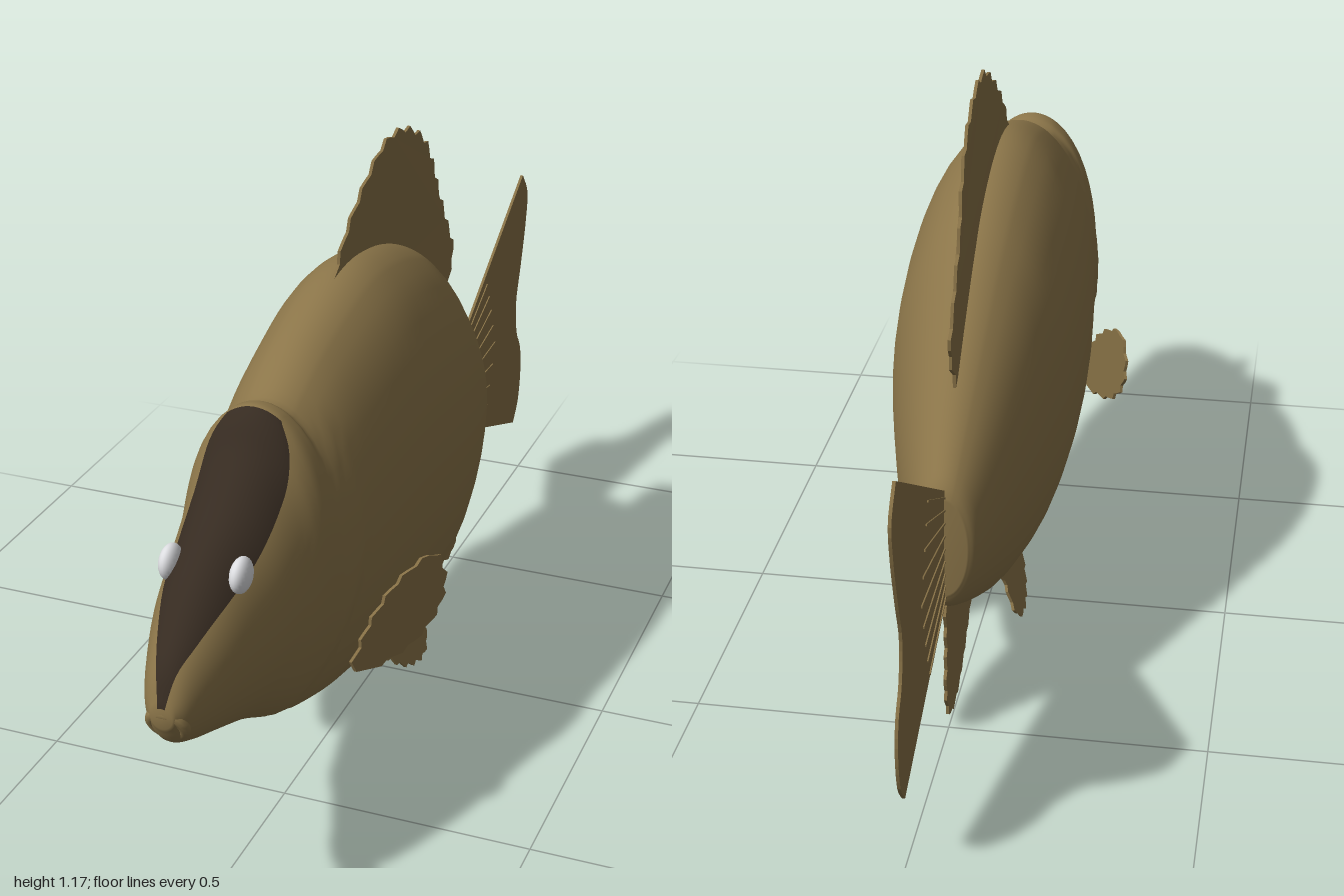
import * as THREE from 'three';

const mat = (name, color, side = THREE.FrontSide) => {
  const m = new THREE.MeshStandardMaterial({ color, side });
  m.name = name;
  return m;
};

// Body sections from snout to tail: z, top y, bottom y, half width, half angle of the mask
const SECTIONS = [
  [1.0, 0.505, 0.465, 0.02, 0.35],
  [0.975, 0.565, 0.425, 0.042, 0.45],
  [0.93, 0.615, 0.4, 0.063, 0.62],
  [0.85, 0.685, 0.37, 0.09, 0.76],
  [0.75, 0.74, 0.33, 0.115, 0.74],
  [0.66, 0.81, 0.28, 0.131, 0.68],
  [0.62, 0.86, 0.258, 0.138, 0.56],
  [0.595, 0.88, 0.248, 0.142, 0.35],
  [0.565, 0.878, 0.236, 0.145, 0.35],
  [0.53, 0.868, 0.222, 0.148, 0.35],
  [0.4, 0.93, 0.185, 0.165, 0.35],
  [0.2, 0.985, 0.155, 0.186, 0.35],
  [0.05, 0.977, 0.14, 0.19, 0.35],
  [-0.1, 0.93, 0.14, 0.18, 0.35],
  [-0.2, 0.87, 0.153, 0.16, 0.35],
  [-0.3, 0.785, 0.18, 0.135, 0.35],
  [-0.4, 0.69, 0.225, 0.106, 0.35],
  [-0.5, 0.585, 0.277, 0.073, 0.35],
  [-0.53, 0.55, 0.3, 0.06, 0.35],
  [-0.542, 0.525, 0.325, 0.045, 0.35],
];
const STEPS = 5, MASK_COLS = 12, SIDE_COLS = 40, COLS = MASK_COLS + SIDE_COLS;

function bodyGeometry() {
  const spline = (f) => new THREE.CatmullRomCurve3(SECTIONS.map(f), false, 'catmullrom', 0.5);
  const heights = spline((s) => new THREE.Vector3(s[0], s[1], s[2]));
  const widths = spline((s) => new THREE.Vector3(s[0], s[3], s[4]));
  const rows = (SECTIONS.length - 1) * STEPS;
  const pos = [], mask = [], skin = [];
  for (let i = 0; i <= rows; i++) {
    const { x: z, y: top, z: bottom } = heights.getPoint(i / rows);
    const { y: w, z: a } = widths.getPoint(i / rows);
    const mid = (top + bottom) / 2, h = (top - bottom) / 2;
    for (let j = 0; j < COLS; j++) {
      const t = j < MASK_COLS
        ? -a + (2 * a * j) / MASK_COLS
        : a + ((2 * Math.PI - 2 * a) * (j - MASK_COLS)) / SIDE_COLS;
      const y = mid + h * Math.cos(t);
      // raised gill cover ahead of a curved edge
      const ahead = z - (0.46 + 1.6 * Math.max(0, 0.62 - y) ** 2 + 1.2 * Math.max(0, y - 0.62) ** 2);
      const bulge = ahead > 0 ? 0.012 * Math.min(1, ahead / 0.02) * Math.max(0, 1 - ahead / 0.2) : 0;
      pos.push((w + bulge) * Math.sin(t), y, z);
    }
  }
  for (let i = 0; i < rows; i++) {
    const masked = i < 7 * STEPS;
    for (let j = 0; j < COLS; j++) {
      const k = (j + 1) % COLS;
      const a = i * COLS + j, b = i * COLS + k, c = a + COLS, d = b + COLS;
      (masked && j < MASK_COLS ? mask : skin).push(a, b, c, b, d, c);
    }
  }
  // end caps
  const front = pos.length / 3, back = front + 1, last = rows * COLS;
  pos.push(0, 0.485, 1.0, 0, 0.425, -0.545);
  for (let j = 0; j < COLS; j++) {
    const k = (j + 1) % COLS;
    skin.push(front, k, j, back, last + j, last + k);
  }
  const g = new THREE.BufferGeometry();
  g.setAttribute('position', new THREE.Float32BufferAttribute(pos, 3));
  g.setIndex([...mask, ...skin]);
  g.addGroup(0, mask.length, 0);
  g.addGroup(mask.length, skin.length, 1);
  g.computeVertexNormals();
  return g;
}

// Smooth free edge through (z, y) points with small notches, closed by a hidden root line
function finGeometry(edge, root, teeth, depth, lean = () => 0, thick = 0.006) {
  const curve = new THREE.CatmullRomCurve3(edge.map(([z, y]) => new THREE.Vector3(-z, y, 0)));
  const outline = [], n = Math.max(teeth, 12) * 3;
  for (let i = 0; i <= n; i++) {
    const p = curve.getPointAt(i / n), d = curve.getTangentAt(i / n);
    const notch = teeth && i > 0 && i < n ? depth * ((i % 3) / 2) : 0;
    const s = edge.ccw ? -1 : 1;
    outline.push(new THREE.Vector2(p.x + s * d.y * notch, p.y - s * d.x * notch));
  }
  root.forEach(([z, y]) => outline.push(new THREE.Vector2(-z, y)));
  const g = new THREE.ExtrudeGeometry(new THREE.Shape(outline), { depth: thick, bevelEnabled: false });
  g.translate(0, 0, -thick / 2).rotateY(Math.PI / 2);
  const p = g.attributes.position;
  for (let i = 0; i < p.count; i++) p.setX(i, p.getX(i) + lean(p.getZ(i), p.getY(i)));
  g.computeVertexNormals();
  return g;
}

export function createModel() {
  const model = new THREE.Group();
  model.name = 'fish';
  const skin = mat('olive brown skin', 0x8b7549);
  const fin = mat('olive brown fin', 0x877146, THREE.DoubleSide);
  const dark = mat('dark brown mask', 0x362b21);
  const white = mat('pale eye', 0xdcdde0);
  const add = (name, geometry, material) => {
    const mesh = new THREE.Mesh(geometry, material);
    mesh.name = name;
    model.add(mesh);
    return mesh;
  };

  add('body', bodyGeometry(), [dark, skin]);

  // Mouth
  const lip = add('lip', new THREE.TorusGeometry(0.03, 0.011, 10, 28), skin);
  lip.position.set(0, 0.462, 0.977);
  lip.rotation.x = 0.45;

  // Fins on the centre line
  add('dorsalFin', finGeometry(
    [[0.24, 0.97], [0.17, 1.06], [0.06, 1.14], [-0.02, 1.175], [-0.1, 1.175], [-0.155, 1.16], [-0.25, 1.11],
      [-0.315, 1.04], [-0.37, 0.95], [-0.42, 0.87], [-0.465, 0.785], [-0.41, 0.69]],
    [[-0.3, 0.75], [-0.1, 0.88], [0.1, 0.94]], 16, 0.014, (z, y) => Math.max(0, y - 0.97) * 0.05), fin);
  add('tailFin', finGeometry(
    [[-0.957, 0.79], [-0.998, 0.735], [-0.99, 0.66], [-0.96, 0.56], [-0.932, 0.475], [-0.945, 0.39],
      [-0.972, 0.35], [-0.985, 0.29], [-0.97, 0.2], [-0.935, 0.155]],
    [[-0.53, 0.315], [-0.52, 0.42], [-0.53, 0.54]], 0, 0), fin);
  add('analFin', finGeometry(
    [[-0.24, 0.165], [-0.29, 0.12], [-0.35, 0.07], [-0.42, 0.035], [-0.49, 0.035], [-0.525, 0.1],
      [-0.52, 0.19], [-0.525, 0.29]],
    [[-0.45, 0.3], [-0.33, 0.24]], 9, 0.01), fin);

  // Fine rays fanning over the tail
  for (let i = 0; i < 9; i++) {
    const u = i / 8 - 0.5, len = 0.24 - 0.12 * Math.abs(u);
    const ray = add('tailRay', new THREE.BoxGeometry(0.011, 0.004, len), fin);
    const slope = u * 0.9 + 0.06;
    ray.rotation.x = Math.atan(slope);
    ray.position.set(0, 0.425 + u * 0.2 + (slope * len) / 2, -0.53 - len / 2);
  }

  // Paired parts
  for (const s of [1, -1]) {
    const side = s > 0 ? 'left' : 'right';
    const eye = add(side + 'Eye', new THREE.SphereGeometry(0.033, 24, 16), white);
    eye.scale.x = 0.55;
    eye.position.set(s * 0.066, 0.672, 0.81);
    add(side + 'PelvicFin', finGeometry(
      [[0.14, 0.15], [0.08, 0.085], [0.01, 0.03], [-0.07, 0.012], [-0.11, 0.035], [-0.1, 0.1], [-0.11, 0.16]],
      [[0, 0.18]], 8, 0.009, (z, y) => s * (0.03 + (0.14 - y) * 0.38)), fin);
    add(side + 'PectoralFin', finGeometry(
      [[0.48, 0.32], [0.44, 0.4], [0.38, 0.465], [0.31, 0.49], [0.285, 0.43], [0.3, 0.36], [0.355, 0.305], [0.42, 0.285]],
      [[0.47, 0.295]], 12, 0.008, (z) => s * (0.15 + (0.45 - z) * 0.62)), fin);
  }
  return model;
}
